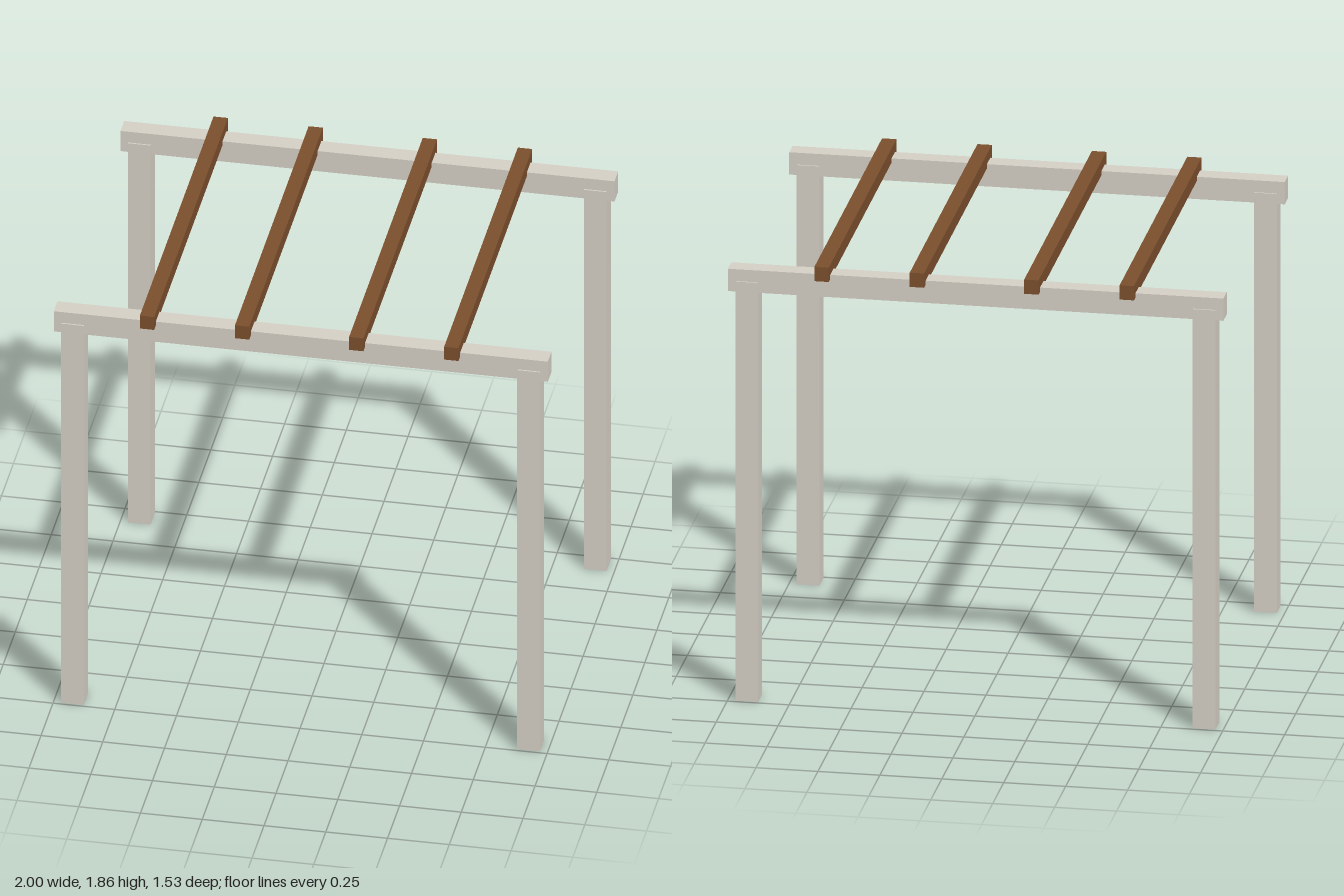
import * as THREE from 'three';

export function createModel() {
  const group = new THREE.Group();
  const stone = new THREE.MeshStandardMaterial({ color: 0xd3cec3 });
  const wood = new THREE.MeshStandardMaterial({ color: 0x7a4e2c });

  const addBox = (name, material, [w, h, d], [x, y, z]) => {
    const mesh = new THREE.Mesh(new THREE.BoxGeometry(w, h, d), material);
    mesh.name = name;
    mesh.position.set(x, y, z);
    group.add(mesh);
  };

  const postZ = 0.695, postHeight = 1.77;

  for (const [end, z] of [['front', postZ], ['back', -postZ]]) {
    // Corner posts, slightly thicker than the beam they carry
    for (const [side, x] of [['Left', 0.923], ['Right', -0.923]]) {
      addBox(`${end}${side}Post`, stone, [0.092, postHeight, 0.09], [x, postHeight / 2, z]);
    }
    // Long beam lapped over the post tops
    addBox(`${end}Beam`, stone, [2, 0.094, 0.077], [0, 1.773, z]);
  }

  // Wooden rafters notched onto the beams
  [-0.616, -0.231, 0.231, 0.616].forEach((x, i) => {
    addBox(`rafter${i + 1}`, wood, [0.058, 0.06, 1.535], [x, 1.832, 0]);
  });

  return group;
}
